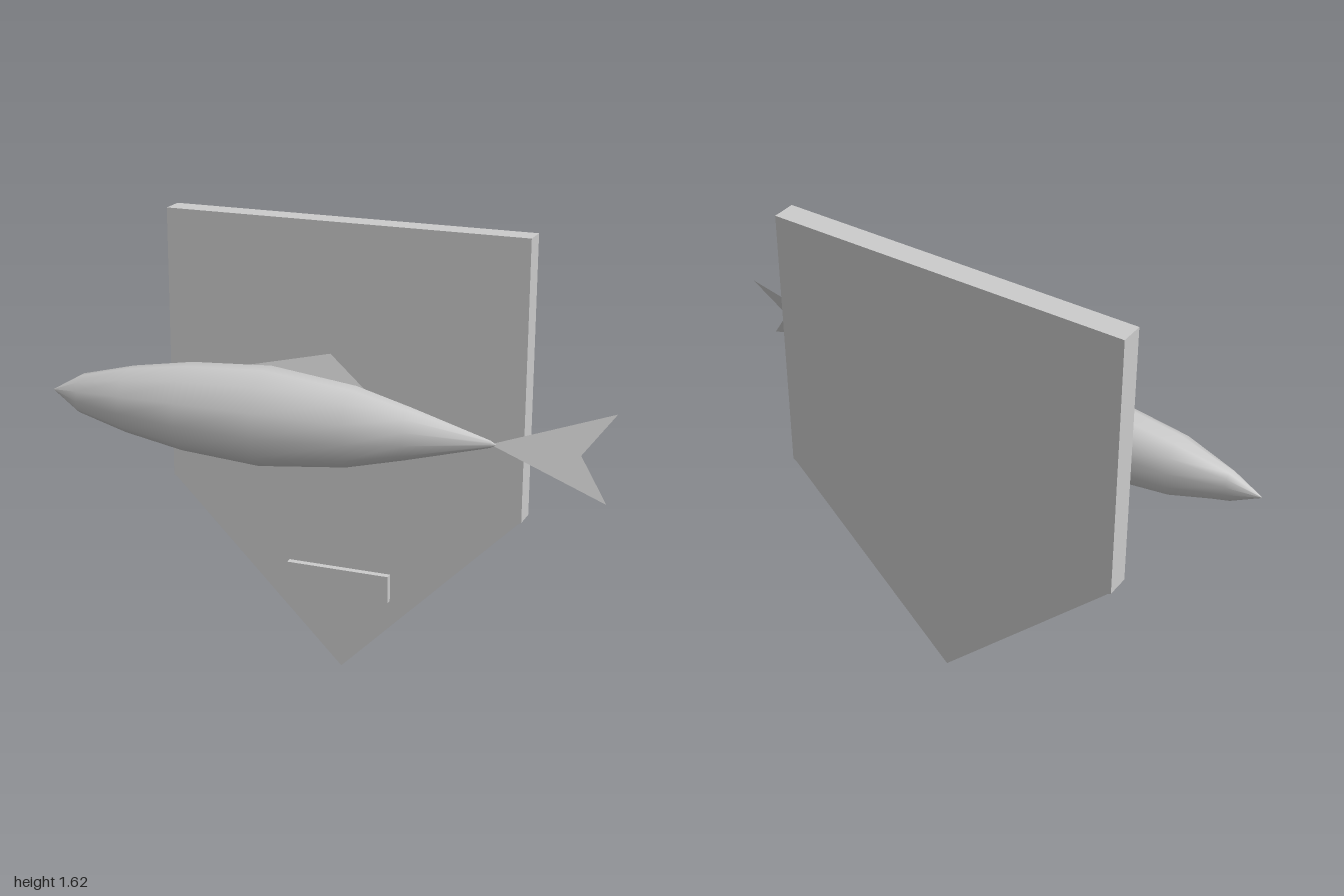
import * as THREE from 'three';

const material = new THREE.MeshStandardMaterial({ color: 0xcccccc });
const thin = new THREE.MeshStandardMaterial({ color: 0xcccccc, side: THREE.DoubleSide });

// Body lofted along x from elliptical rings: [x, half height, half width]
function bodyGeometry(rings, sides) {
  const positions = [], index = [];
  for (const [x, h, w] of rings) {
    for (let j = 0; j < sides; j++) {
      const t = (j / sides) * Math.PI * 2;
      positions.push(x, h * Math.cos(t), w * Math.sin(t));
    }
  }
  for (let i = 0; i < rings.length - 1; i++) {
    for (let j = 0; j < sides; j++) {
      const k = (j + 1) % sides;
      const a = i * sides + j, b = i * sides + k;
      index.push(a, b, a + sides, b, b + sides, a + sides);
    }
  }
  const geometry = new THREE.BufferGeometry();
  geometry.setAttribute('position', new THREE.Float32BufferAttribute(positions, 3));
  geometry.setIndex(index);
  geometry.computeVertexNormals();
  return geometry;
}

const outline = (points) => new THREE.Shape(points.map(([x, y]) => new THREE.Vector2(x, y)));

function addMesh(parent, name, geometry, mat = material) {
  const mesh = new THREE.Mesh(geometry, mat);
  mesh.name = name;
  parent.add(mesh);
  return mesh;
}

export function createModel() {
  const model = new THREE.Group();
  model.name = 'mountedFish';

  // Pointed wall plaque
  const board = outline([
    [0, 0], [0.637, 0.637], [0.65, 0.645], [0.65, 1.62],
    [-0.65, 1.62], [-0.65, 0.645], [-0.637, 0.637],
  ]);
  addMesh(model, 'plaque', new THREE.ExtrudeGeometry(board, { depth: 0.085, bevelEnabled: false }))
    .position.z = -0.223;

  // Small blank name plate
  addMesh(model, 'namePlate', new THREE.BoxGeometry(0.38, 0.1, 0.025)).position.set(0, 0.342, -0.105);

  // Fish, its back leaning towards the plaque
  const fish = new THREE.Group();
  fish.name = 'fish';
  fish.position.set(0, 0.99, 0.086);
  fish.rotation.x = -THREE.MathUtils.degToRad(20);
  model.add(fish);

  addMesh(fish, 'body', bodyGeometry([
    [-1, 0.001, 0.001],
    [-0.89, 0.068, 0.04],
    [-0.7, 0.116, 0.094],
    [-0.48, 0.152, 0.113],
    [-0.19, 0.17, 0.137],
    [0.12, 0.136, 0.098],
    [0.32, 0.087, 0.07],
    [0.6, 0.012, 0.005],
    [0.62, 0.001, 0.001],
  ], 12));

  // Flat fins
  addMesh(fish, 'dorsalFin', new THREE.ShapeGeometry(outline([
    [-0.27, 0.165], [-0.1, 0.13], [0.15, 0.128], [0.015, 0.232],
  ])), thin);
  addMesh(fish, 'tailFin', new THREE.ShapeGeometry(outline([
    [0.6, 0], [1, -0.143], [0.9, 0], [1, 0.143],
  ])), thin);

  return model;
}
